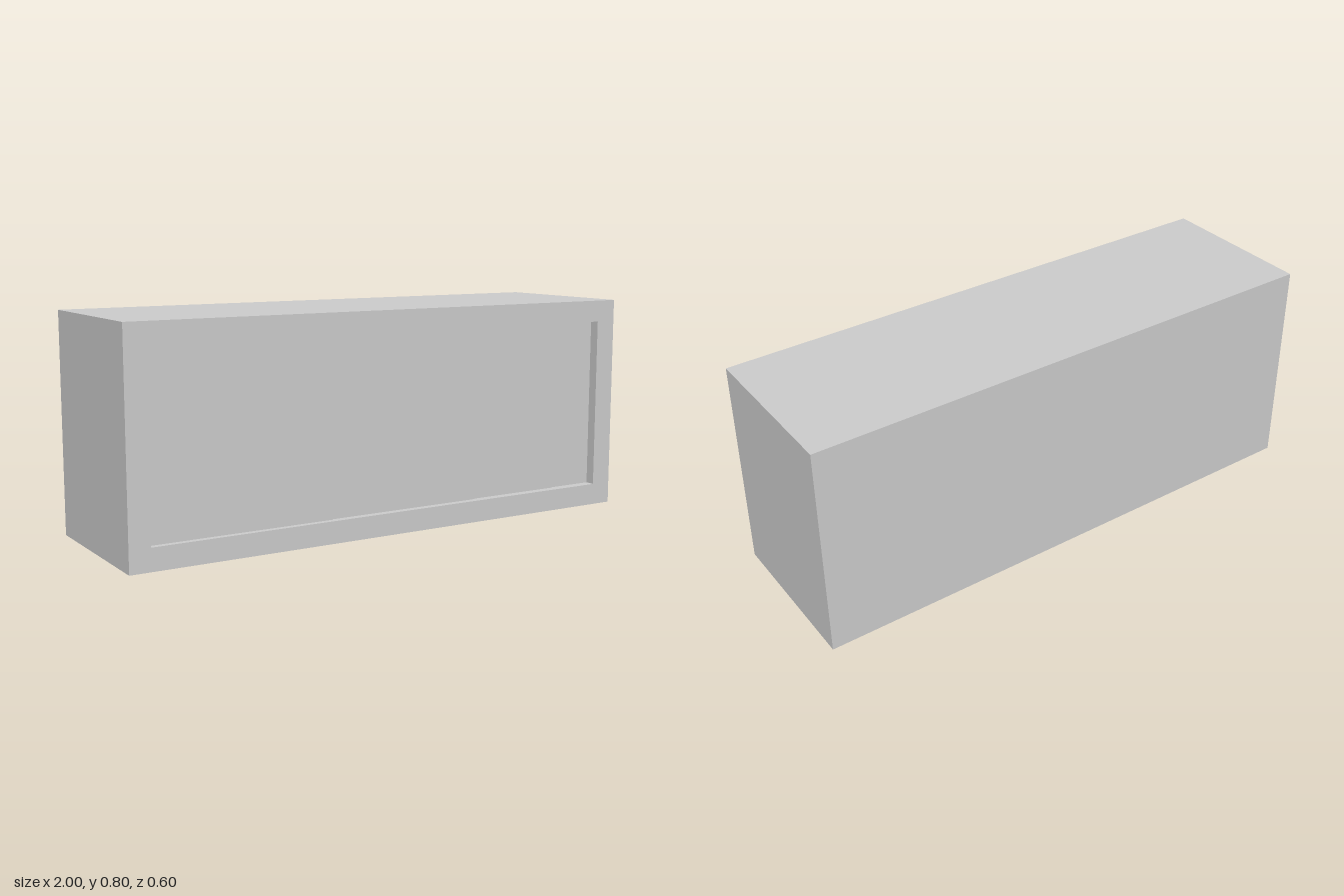
import * as THREE from 'three';

const W = 2, H = 0.795, D = 0.6;
const OPEN = { x0: -0.925, x1: 0.92, y0: 0.08, y1: 0.715 };

function rectangle(Type, x0, y0, x1, y1) {
  const path = new Type();
  path.moveTo(x0, y0);
  path.lineTo(x1, y0);
  path.lineTo(x1, y1);
  path.lineTo(x0, y1);
  path.closePath();
  return path;
}

export function createModel() {
  const group = new THREE.Group();
  group.name = 'slidingDoorCabinet';
  const material = new THREE.MeshStandardMaterial({ color: 0xcccccc });
  const openH = OPEN.y1 - OPEN.y0;
  const openY = (OPEN.y0 + OPEN.y1) / 2;

  function addPanel(name, x0, x1, zFront, thickness) {
    const mesh = new THREE.Mesh(new THREE.BoxGeometry(x1 - x0, openH, thickness), material);
    mesh.position.set((x0 + x1) / 2, openY, zFront - thickness / 2);
    mesh.name = name;
    group.add(mesh);
  }

  // Carcass: a thick-walled rectangular sleeve
  const outline = rectangle(THREE.Shape, -W / 2, 0, W / 2, H);
  outline.holes.push(rectangle(THREE.Path, OPEN.x0, OPEN.y0, OPEN.x1, OPEN.y1));
  const carcassGeometry = new THREE.ExtrudeGeometry(outline, { depth: D, bevelEnabled: false });
  carcassGeometry.translate(0, 0, -D / 2);
  const carcass = new THREE.Mesh(carcassGeometry, material);
  carcass.name = 'carcass';
  group.add(carcass);

  // Back panel closes the sleeve flush with the rear
  addPanel('backPanel', OPEN.x0, OPEN.x1, -D / 2 + 0.03, 0.03);

  // Sliding doors: each sits slightly behind its neighbour and tucks under it
  const rightEdges = [-0.247, 0.364, 0.74, OPEN.x1];
  const step = 0.005;
  rightEdges.forEach((edge, i) => {
    const start = i === 0 ? OPEN.x0 : rightEdges[i - 1] - 0.06;
    addPanel(`slidingDoor${i + 1}`, start, edge, D / 2 - 0.022 - i * step, step);
  });

  return group;
}
